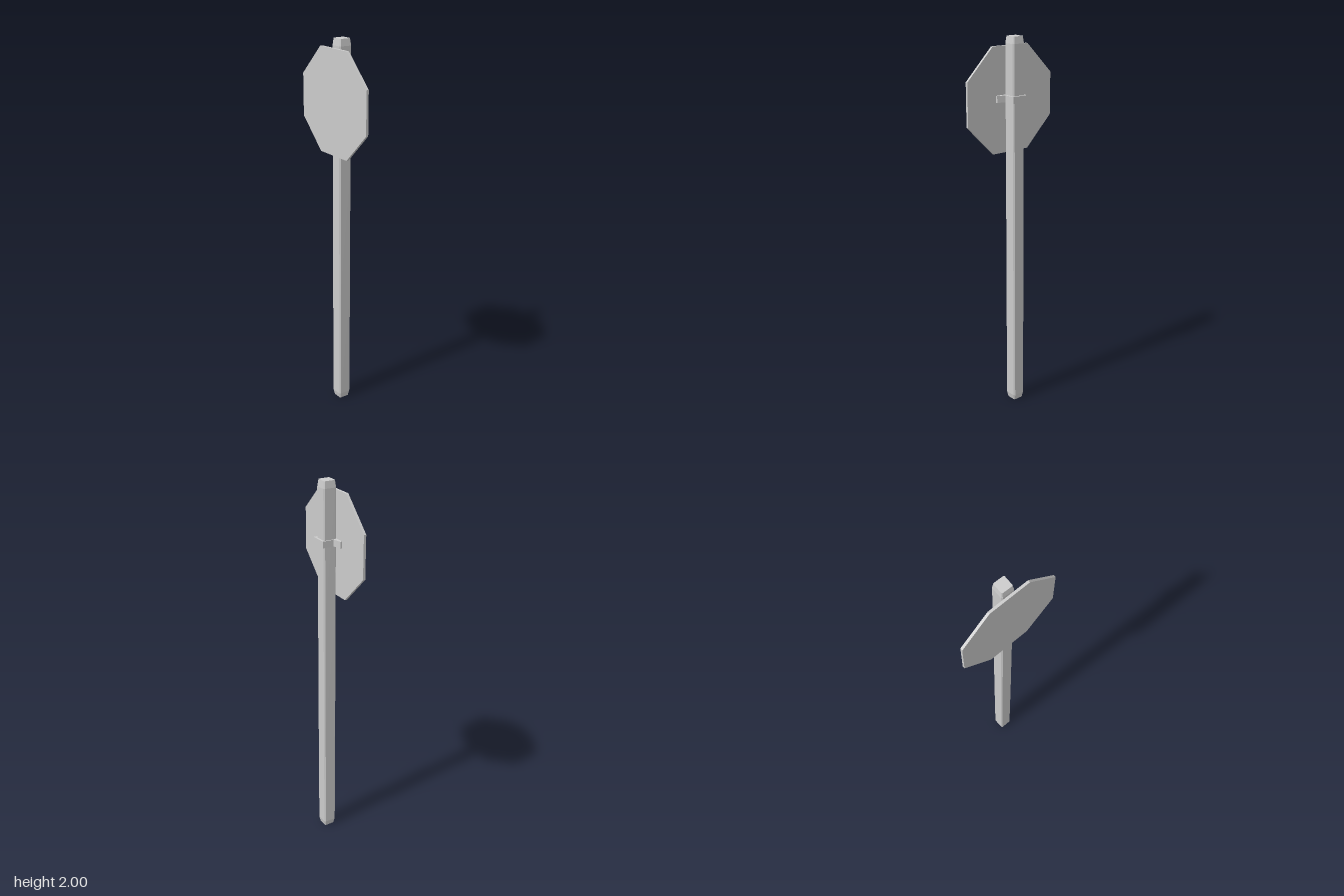
import * as THREE from 'three';

const material = new THREE.MeshStandardMaterial({ color: 0xcccccc, flatShading: true });

function extrudeOutline(points, depth) {
  const shape = new THREE.Shape(points.map(([x, y]) => new THREE.Vector2(x, y)));
  return new THREE.ExtrudeGeometry(shape, { depth, bevelEnabled: false });
}

// Square section with bevelled corners, slightly twisted
function postRing(y, half, bevel, cx, twist) {
  const h = half, b = half - bevel;
  const corners = [[h, -b], [h, b], [b, h], [-b, h], [-h, b], [-h, -b], [-b, -h], [b, -h]];
  const c = Math.cos(twist), s = Math.sin(twist);
  return corners.map(([x, z]) => [cx + x * c - z * s, y, -0.003 + x * s + z * c]);
}

// Loft closed rings from bottom to top and cap both ends
function loft(rings) {
  const n = rings[0].length, pos = [];
  const tri = (...pts) => pts.forEach((p) => pos.push(...p));
  const top = rings[rings.length - 1], bottom = rings[0];
  for (let i = 0; i < n; i++) {
    const j = (i + 1) % n;
    for (let r = 0; r < rings.length - 1; r++) {
      const lo = rings[r], up = rings[r + 1];
      tri(lo[i], up[i], lo[j]);
      tri(lo[j], up[i], up[j]);
    }
    if (i > 0 && i < n - 1) {
      tri(top[0], top[j], top[i]);
      tri(bottom[0], bottom[i], bottom[j]);
    }
  }
  const geometry = new THREE.BufferGeometry();
  geometry.setAttribute('position', new THREE.Float32BufferAttribute(pos, 3));
  geometry.computeVertexNormals();
  return geometry;
}

export function createModel() {
  const group = new THREE.Group();
  const add = (name, geometry) => {
    const mesh = new THREE.Mesh(geometry, material);
    mesh.name = name;
    group.add(mesh);
    return mesh;
  };

  // Post with bevelled ends and a faint lean
  add('post', loft([
    postRing(0, 0.029, 0.005, 0, 0),
    postRing(0.03, 0.035, 0.007, 0, 0),
    postRing(0.65, 0.035, 0.006, 0.001, 0.01),
    postRing(1.3, 0.035, 0.007, 0.002, 0.02),
    postRing(1.965, 0.035, 0.006, 0.003, 0.03),
    postRing(2, 0.03, 0.004, 0.003, 0.03),
  ]));

  // Octagonal sign plate
  const h = 0.268, k = 0.111;
  const plate = add('signPlate', extrudeOutline(
    [[h, -k], [h, k], [k, h], [-k, h], [-h, k], [-h, -k], [-k, -h], [k, -h]], 0.013));
  plate.position.set(0, 1.685, 0.033);

  // Clamp around the back of the post, with tapered side flanges
  const half = [[0.044, 0.049], [0.044, -0.012], [0.088, -0.022], [0.088, -0.034]];
  const mirrored = half.map(([x, y]) => [-x, y]).reverse();
  const clamp = add('mountingClamp', extrudeOutline([...half, ...mirrored], 0.034));
  clamp.rotation.x = -Math.PI / 2;
  clamp.position.set(0.006, 1.678, 0);

  return group;
}
